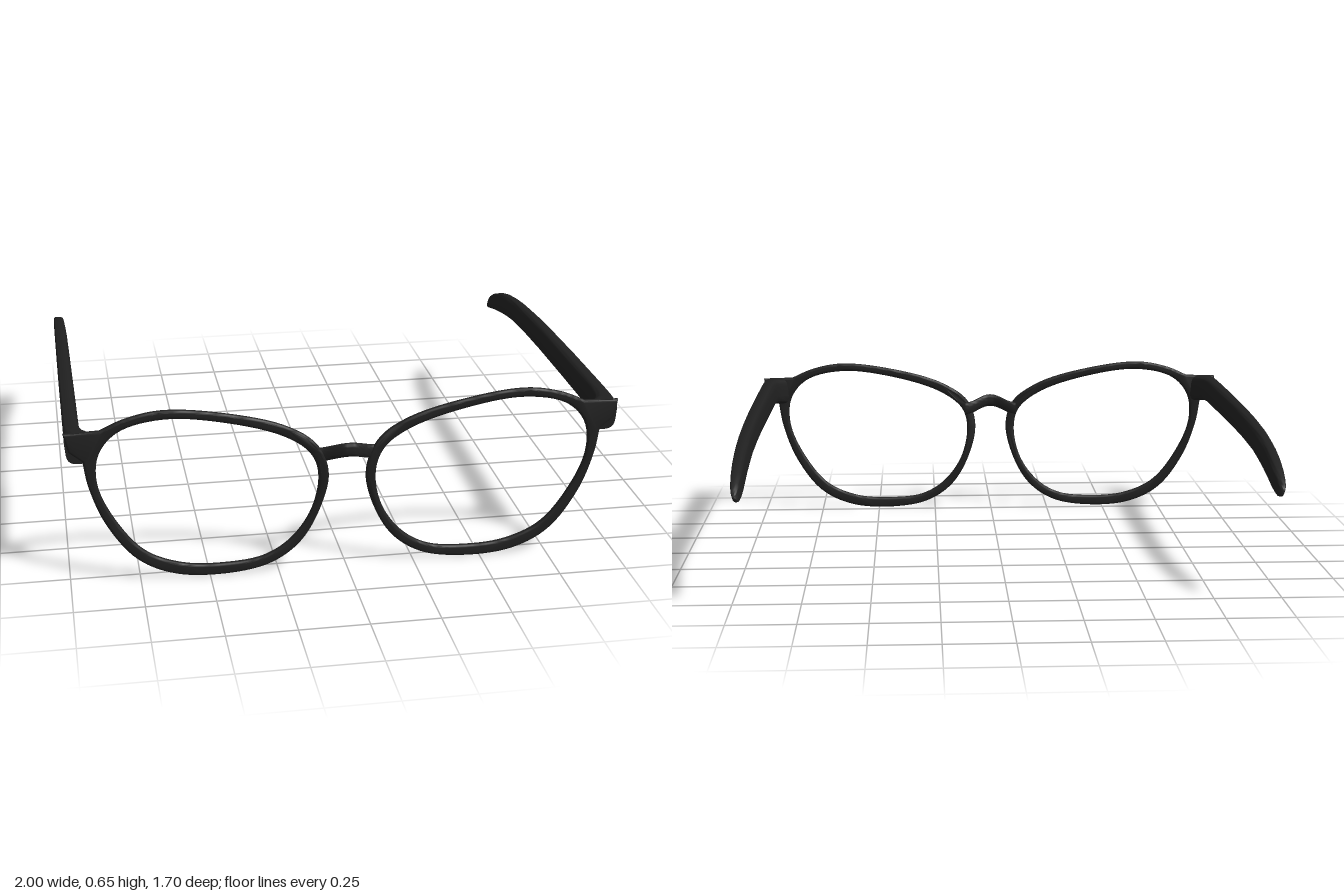
import * as THREE from 'three';
import { toCreasedNormals } from 'three/addons/utils/BufferGeometryUtils.js';

const material = new THREE.MeshStandardMaterial({ color: 0x202020 });
const SIDES = 24;

// Skin a list of rings (each SIDES points) and cap both ends.
function loft(rings) {
  const pos = rings.flat(2), index = [], last = (rings.length - 1) * SIDES;
  for (let i = 0; i < rings.length - 1; i++) {
    for (let j = 0; j < SIDES; j++) {
      const k = (j + 1) % SIDES, a = i * SIDES, b = a + SIDES;
      index.push(a + j, b + j, a + k, a + k, b + j, b + k);
    }
  }
  for (let j = 1; j < SIDES - 1; j++) {
    index.push(0, j, j + 1, last, last + j + 1, last + j);
  }
  const g = new THREE.BufferGeometry();
  g.setAttribute('position', new THREE.Float32BufferAttribute(pos, 3));
  g.setIndex(index);
  return toCreasedNormals(g, 0.8);
}

// Rounded-rectangle section; a lower power gives a rounder outline.
function section(power, place) {
  return Array.from({ length: SIDES }, (_, j) => {
    const a = ((j + 0.5) / SIDES) * Math.PI * 2;
    const f = (v) => Math.sign(v) * Math.abs(v) ** (2 / power);
    return place(f(Math.cos(a)), f(Math.sin(a)));
  });
}

function spline(points, closed, n) {
  const c = new THREE.CatmullRomCurve3(points.map(([x, y]) => new THREE.Vector3(x, y, 0)), closed);
  return c.getPoints(n).slice(0, closed ? n : n + 1).map((p) => new THREE.Vector2(p.x, p.y));
}

// Lens rim with the hinge end piece as one plate
function rimGeometry() {
  const outer = spline([
    [0.875, 0.592], [0.785, 0.63], [0.655, 0.653], [0.436, 0.627], [0.22, 0.565], [0.105, 0.485],
    [0.068, 0.38], [0.094, 0.246], [0.168, 0.112], [0.275, 0.035], [0.425, 0.005], [0.62, 0.018],
    [0.757, 0.086], [0.864, 0.23], [0.92, 0.38], [0.937, 0.48],
  ], false, 110);
  outer.push(new THREE.Vector2(0.985, 0.52), new THREE.Vector2(1, 0.588));
  const shape = new THREE.Shape(outer);
  shape.holes.push(new THREE.Path(spline([
    [0.655, 0.62], [0.436, 0.593], [0.222, 0.524], [0.128, 0.45], [0.104, 0.364], [0.131, 0.23],
    [0.206, 0.123], [0.302, 0.064], [0.436, 0.046], [0.596, 0.058], [0.73, 0.118], [0.837, 0.257],
    [0.889, 0.39], [0.88, 0.503], [0.81, 0.583],
  ], true, 100)));
  const g = new THREE.ExtrudeGeometry(shape, {
    depth: 0.006, bevelThickness: 0.008, bevelSize: 0.009, bevelOffset: -0.009, bevelSegments: 3,
  });
  g.translate(0, 0, 0.79);
  // The nose side swells forward towards the bridge
  const p = g.attributes.position;
  for (let i = 0; i < p.count; i++) {
    const nose = 1 - THREE.MathUtils.smoothstep(p.getX(i), 0.07, 0.17);
    const high = THREE.MathUtils.smoothstep(p.getY(i), 0.22, 0.45);
    p.setZ(i, p.getZ(i) + 0.016 * nose * high);
  }
  return toCreasedNormals(g, 0.7);
}

// Temple arm: z, inner x, outer x, bottom y, top y
function templeGeometry() {
  const stations = [
    [0.8, 0.89, 1, 0.475, 0.59], [0.78, 0.9, 1, 0.478, 0.59], [0.755, 0.925, 1, 0.484, 0.59],
    [0.72, 0.938, 1, 0.491, 0.589], [0.64, 0.944, 1, 0.495, 0.589], [0.3, 0.946, 1, 0.496, 0.587],
    [0, 0.948, 0.999, 0.495, 0.582], [-0.2, 0.949, 0.998, 0.491, 0.575], [-0.4, 0.95, 0.997, 0.481, 0.562],
    [-0.5, 0.95, 0.996, 0.469, 0.55], [-0.6, 0.951, 0.995, 0.452, 0.534], [-0.68, 0.951, 0.994, 0.437, 0.514],
    [-0.75, 0.952, 0.992, 0.42, 0.489], [-0.8, 0.955, 0.989, 0.408, 0.464], [-0.83, 0.96, 0.985, 0.402, 0.446],
    [-0.843, 0.965, 0.981, 0.404, 0.434], [-0.85, 0.971, 0.976, 0.413, 0.424],
  ];
  return loft(stations.map(([z, x0, x1, y0, y1]) => section(4, (u, v) => [
    (x0 + x1) / 2 + (u * (x1 - x0)) / 2 - 0.005 * (1 - v),
    (y0 + y1) / 2 + (v * (y1 - y0)) / 2,
    z,
  ])));
}

// Bridge bowed forward and upward between the rims
function bridgeGeometry() {
  const rings = [];
  for (let i = 0; i <= 24; i++) {
    const t = i / 12 - 1;
    const bow = Math.cos((t * Math.PI) / 2) ** 2;
    rings.push(section(2.5, (u, v) => [
      0.112 * t, 0.447 + 0.03 * bow + 0.026 * v, 0.797 + 0.041 * bow + 0.012 * u,
    ]));
  }
  return loft(rings);
}

export function createModel() {
  const model = new THREE.Group();
  model.name = 'eyeglasses';
  const rim = rimGeometry(), temple = templeGeometry();
  for (const [side, s] of [['left', 1], ['right', -1]]) {
    const half = new THREE.Group();
    half.name = side + 'Half';
    half.scale.x = s;
    for (const [name, g] of [['Rim', rim], ['Temple', temple]]) {
      const mesh = new THREE.Mesh(g, material);
      mesh.name = side + name;
      half.add(mesh);
    }
    model.add(half);
  }
  const bridge = new THREE.Mesh(bridgeGeometry(), material);
  bridge.name = 'bridge';
  model.add(bridge);
  return model;
}
